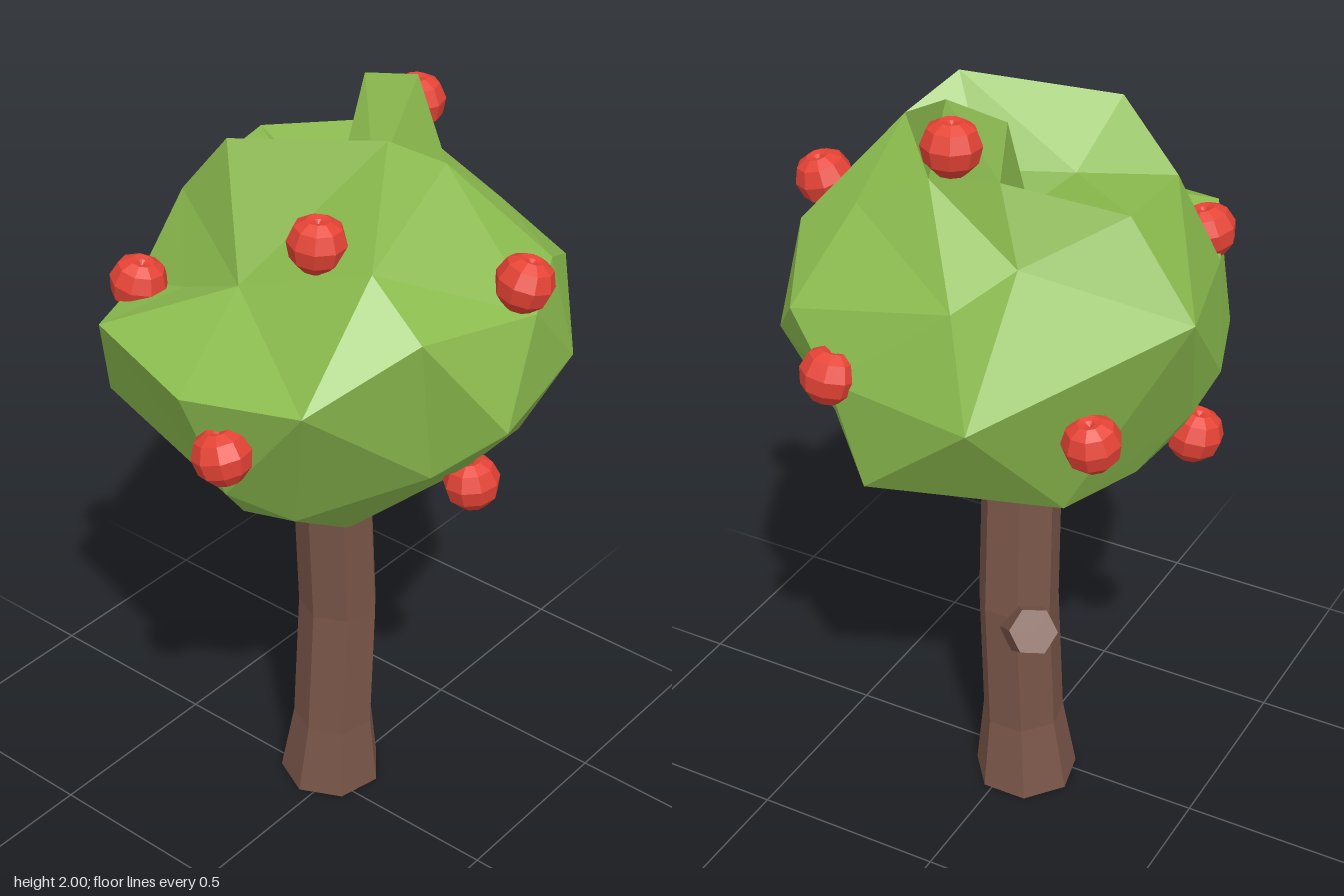
import * as THREE from 'three';
import { ConvexGeometry } from 'three/addons/geometries/ConvexGeometry.js';

const mat = (color) => new THREE.MeshStandardMaterial({ color, flatShading: true });
const bark = mat(0x795548);
const leaf = mat(0x8bbb4e);
const red = mat(0xe54335);

function part(name, geometry, material) {
  const mesh = new THREE.Mesh(geometry, material);
  mesh.name = name;
  return mesh;
}

// Corner points of the faceted crown, by height
const CROWN = [
  // top peaks
  [-0.09, 1.97, -0.235], [0.055, 2.0, -0.25], [0.165, 1.955, 0], [-0.185, 1.91, 0.145],
  // hollows between and behind them
  [0.24, 1.88, -0.12], [0.05, 1.77, -0.1], [-0.065, 1.7, -0.09], [-0.155, 1.78, -0.03],
  [-0.09, 1.84, -0.27], [0.08, 1.82, -0.29], [0.26, 1.73, -0.31], [-0.155, 1.66, -0.31],
  [-0.36, 1.78, -0.17], [-0.33, 1.74, 0.145],
  // front ledge and shoulder ring
  [0.28, 1.74, 0.195], [-0.06, 1.62, 0.255], [-0.24, 1.55, 0.245], [-0.41, 1.5, 0.23],
  [-0.295, 1.53, 0.475], [0.035, 1.5, 0.565], [0.31, 1.51, 0.47], [0.43, 1.62, 0.205],
  [0.43, 1.64, -0.285], [0.33, 1.53, -0.495], [-0.08, 1.61, -0.48], [-0.555, 1.59, -0.24],
  [0.5, 1.58, -0.13],
  // widest ring
  [0.55, 1.36, 0.035], [0.505, 1.36, -0.17], [0.47, 1.37, -0.34], [0.2, 1.4, -0.55],
  [-0.155, 1.36, -0.555], [-0.39, 1.27, 0.36], [-0.48, 1.28, 0.1], [-0.48, 1.25, -0.06],
  // lower ring and underside
  [0.08, 1.22, 0.47], [0.4, 1.22, 0.12], [0.13, 1.13, -0.53], [0.36, 1.14, -0.29],
  [0.15, 1.09, 0.31], [-0.39, 1.1, 0.06], [-0.02, 1.04, 0.3], [-0.37, 1.09, -0.12],
  [-0.27, 1.06, -0.3], [0.33, 1.1, -0.1], [0.06, 0.865, 0],
];

// Joins the points as a hull of their directions, then moves each corner to its own distance
function crownGeometry() {
  const centre = new THREE.Vector3(0, 1.4, 0);
  const points = CROWN.map((p) => new THREE.Vector3(...p));
  const dirs = points.map((p) => p.clone().sub(centre).normalize());
  const geo = new ConvexGeometry(dirs);
  const pos = geo.attributes.position;
  const v = new THREE.Vector3();
  for (let i = 0; i < pos.count; i++) {
    v.fromBufferAttribute(pos, i);
    let best = 0;
    dirs.forEach((d, k) => { if (d.dot(v) > dirs[best].dot(v)) best = k; });
    pos.setXYZ(i, ...points[best].toArray());
  }
  geo.computeVertexNormals();
  return geo;
}

// Seven-sided trunk; each ring is height, centre x, centre z, radius
function trunkGeometry() {
  const rings = [
    [0, -0.037, -0.05, 0.137], [0.2, -0.028, -0.05, 0.108],
    [0.57, -0.022, -0.063, 0.105], [1.05, -0.014, -0.026, 0.102],
  ];
  const geo = new THREE.CylinderGeometry(1, 1, 1, 7, rings.length - 1);
  const pos = geo.attributes.position;
  for (let i = 0; i < pos.count; i++) {
    const [y, x, z, r] = rings[Math.round((pos.getY(i) + 0.5) * (rings.length - 1))];
    pos.setXYZ(i, x + pos.getX(i) * r, y, z + pos.getZ(i) * r);
  }
  geo.computeVertexNormals();
  return geo;
}

// Round fruit with a dimple on top
function fruitGeometry() {
  const profile = [[0, -0.06], [0.035, -0.06], [0.062, -0.032], [0.071, 0.008],
    [0.056, 0.046], [0.028, 0.062], [0.012, 0.058], [0, 0.048]];
  return new THREE.LatheGeometry(profile.map((p) => new THREE.Vector2(...p)), 9);
}

export function createModel() {
  const tree = new THREE.Group();
  tree.name = 'fruitTree';
  tree.add(part('trunk', trunkGeometry(), bark), part('crown', crownGeometry(), leaf));

  // Cut branch stub on the back of the trunk
  const from = new THREE.Vector3(-0.07, 0.52, -0.11);
  const to = new THREE.Vector3(-0.136, 0.583, -0.195);
  const axis = to.clone().sub(from);
  const stub = part('branchStub', new THREE.CylinderGeometry(0.062, 0.072, axis.length(), 6), bark);
  stub.position.copy(from).add(to).multiplyScalar(0.5);
  stub.quaternion.setFromUnitVectors(new THREE.Vector3(0, 1, 0), axis.normalize());
  tree.add(stub);

  // Fruit scattered over the crown
  const fruits = new THREE.Group();
  fruits.name = 'fruits';
  const geo = fruitGeometry();
  const spots = [
    [0.125, 1.37, 0.525], [0.12, 1.76, 0.19], [-0.35, 1.54, 0.285],
    [-0.445, 1.13, 0.04], [0.36, 1.08, -0.1], [0.475, 1.66, -0.11],
    [0.02, 1.91, -0.29], [0.205, 1.41, -0.535], [-0.37, 1.3, -0.36],
  ];
  spots.forEach((p, i) => {
    const fruit = part('fruit', geo, red);
    fruit.position.set(...p);
    fruit.rotation.set(0.25 * Math.sin(i * 2), i * 1.3, 0.25 * Math.cos(i * 3));
    fruits.add(fruit);
  });
  tree.add(fruits);
  return tree;
}
